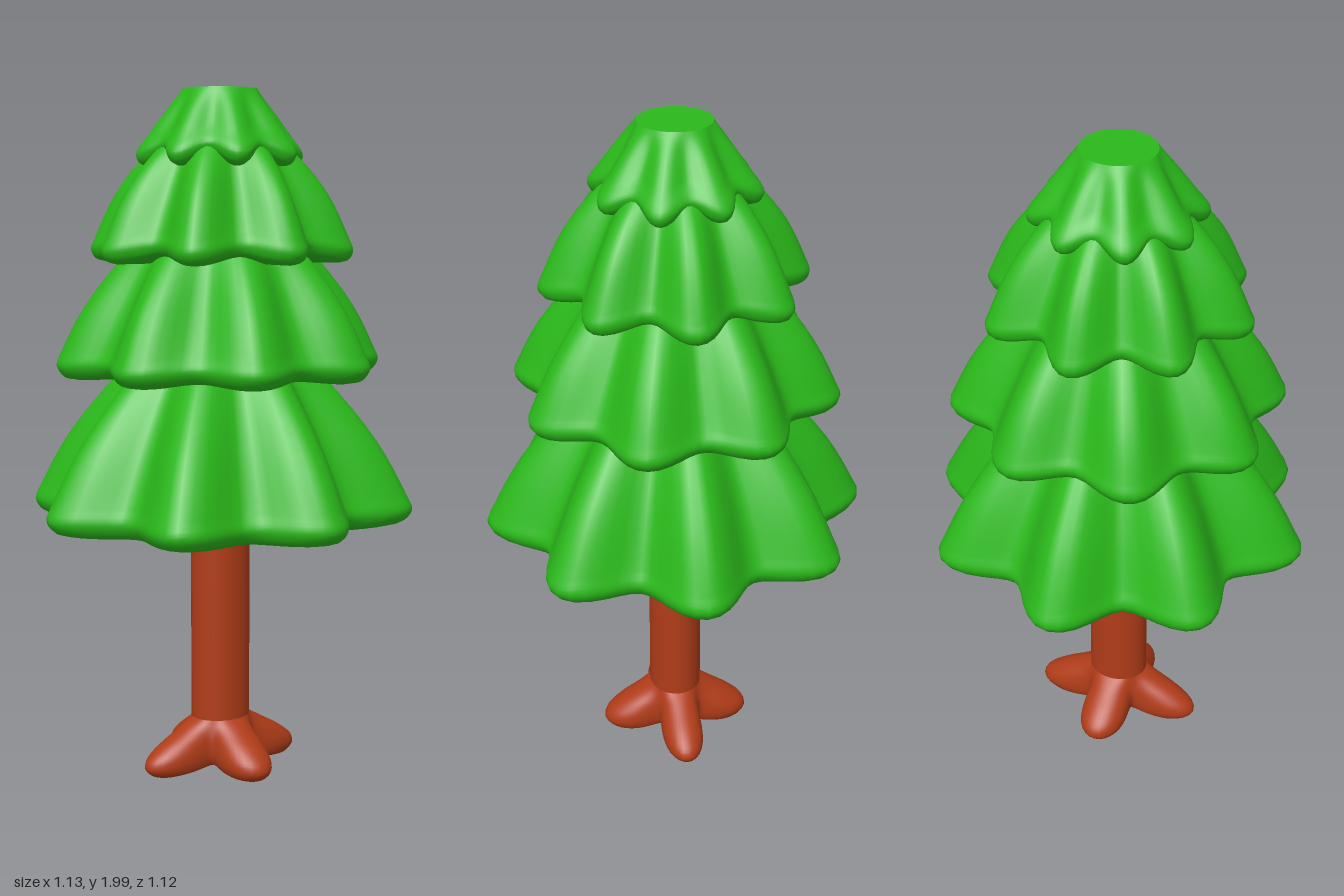
import * as THREE from 'three';

const SEGMENTS = 96;
const leafMaterial = new THREE.MeshStandardMaterial({ color: 0x2ab81a });
const barkMaterial = new THREE.MeshStandardMaterial({ color: 0xb03c18 });

// Lofts a lobed solid from [y, tipRadius, valleyRadius] points, listed bottom to top.
// lift raises the valleys at the bottom rim; hollow raises the centre of the underside.
function lobedLoft(points, { lobes, turn = 0, lift = 0, hollow = 0, steps = 24 }) {
  const curve = new THREE.CatmullRomCurve3(points.map(p => new THREE.Vector3(...p)), false, 'centripetal');
  const y0 = points[0][0], y1 = points[points.length - 1][0];
  const positions = [], index = [];

  function addRing(p) {
    const first = positions.length / 3;
    for (let j = 0; j < SEGMENTS; j++) {
      const a = j / SEGMENTS * Math.PI * 2;
      const w = 0.5 + 0.5 * Math.cos(lobes * (a - turn));
      const r = p.z + (p.y - p.z) * w;
      const fade = Math.max(0, 1 - (p.x - y0) / (y1 - y0));
      positions.push(r * Math.cos(a), p.x + lift * (1 - w) * fade, r * Math.sin(a));
    }
    return first;
  }

  const rings = curve.getPoints(steps).map(addRing);
  for (let i = 0; i < steps; i++) {
    for (let j = 0; j < SEGMENTS; j++) {
      const k = (j + 1) % SEGMENTS;
      const a = rings[i] + j, b = rings[i] + k, c = rings[i + 1] + j, d = rings[i + 1] + k;
      index.push(a, c, b, b, c, d);
    }
  }

  // Caps have their own vertices so that their edges stay crisp
  for (const top of [false, true]) {
    const first = addRing(curve.getPoint(top ? 1 : 0));
    const centre = positions.length / 3;
    positions.push(0, top ? y1 : y0 + hollow, 0);
    for (let j = 0; j < SEGMENTS; j++) {
      const a = first + j, b = first + (j + 1) % SEGMENTS;
      if (top) index.push(centre, b, a);
      else index.push(centre, a, b);
    }
  }

  const geometry = new THREE.BufferGeometry();
  geometry.setAttribute('position', new THREE.Float32BufferAttribute(positions, 3));
  geometry.setIndex(index);
  geometry.computeVertexNormals();
  return geometry;
}

export function createModel() {
  const tree = new THREE.Group();
  tree.name = 'tree';

  function add(name, geometry, material, depth) {
    const mesh = new THREE.Mesh(geometry, material);
    mesh.name = name;
    mesh.scale.z = depth;
    tree.add(mesh);
  }

  // Root flare with four rounded toes
  add('roots', lobedLoft([
    [0.008, 0.2, 0.075], [0.012, 0.235, 0.09], [0.035, 0.259, 0.102], [0.06, 0.252, 0.106],
    [0.095, 0.21, 0.106], [0.13, 0.15, 0.1], [0.165, 0.09, 0.09],
  ], { lobes: 4, lift: 0.02, hollow: 0.025 }), barkMaterial, 0.87);

  // Trunk
  const trunk = new THREE.CylinderGeometry(0.09, 0.09, 0.74, 32);
  trunk.translate(0, 0.48, 0);
  add('trunk', trunk, barkMaterial, 0.87);

  // Foliage skirts, alternately turned by about half a lobe
  const turn = -THREE.MathUtils.degToRad(25);
  const tiers = [
    { name: 'bottomFoliage', turn: 0, lift: 0, points: [
      [0.76, 0.5, 0.4], [0.773, 0.545, 0.425], [0.805, 0.567, 0.44], [0.85, 0.548, 0.42],
      [1.0, 0.462, 0.35], [1.18, 0.31, 0.25], [1.28, 0.2, 0.18]] },
    { name: 'lowerFoliage', turn, lift: 0.012, points: [
      [1.18, 0.42, 0.35], [1.19, 0.46, 0.38], [1.22, 0.48, 0.395], [1.26, 0.465, 0.375],
      [1.38, 0.402, 0.315], [1.52, 0.29, 0.24], [1.62, 0.18, 0.17]] },
    { name: 'upperFoliage', turn: 0, lift: 0.022, points: [
      [1.51, 0.345, 0.27], [1.52, 0.375, 0.293], [1.545, 0.387, 0.302], [1.58, 0.374, 0.288],
      [1.7, 0.315, 0.235], [1.8, 0.235, 0.185], [1.88, 0.14, 0.13]] },
    { name: 'topFoliage', turn, lift: 0.035, points: [
      [1.78, 0.212, 0.175], [1.79, 0.236, 0.192], [1.815, 0.245, 0.198], [1.87, 0.208, 0.165],
      [1.94, 0.155, 0.13], [2.0, 0.105, 0.105]] },
  ];
  for (const tier of tiers) {
    add(tier.name, lobedLoft(tier.points, { lobes: 8, turn: tier.turn, lift: tier.lift }), leafMaterial, 0.985);
  }

  return tree;
}
